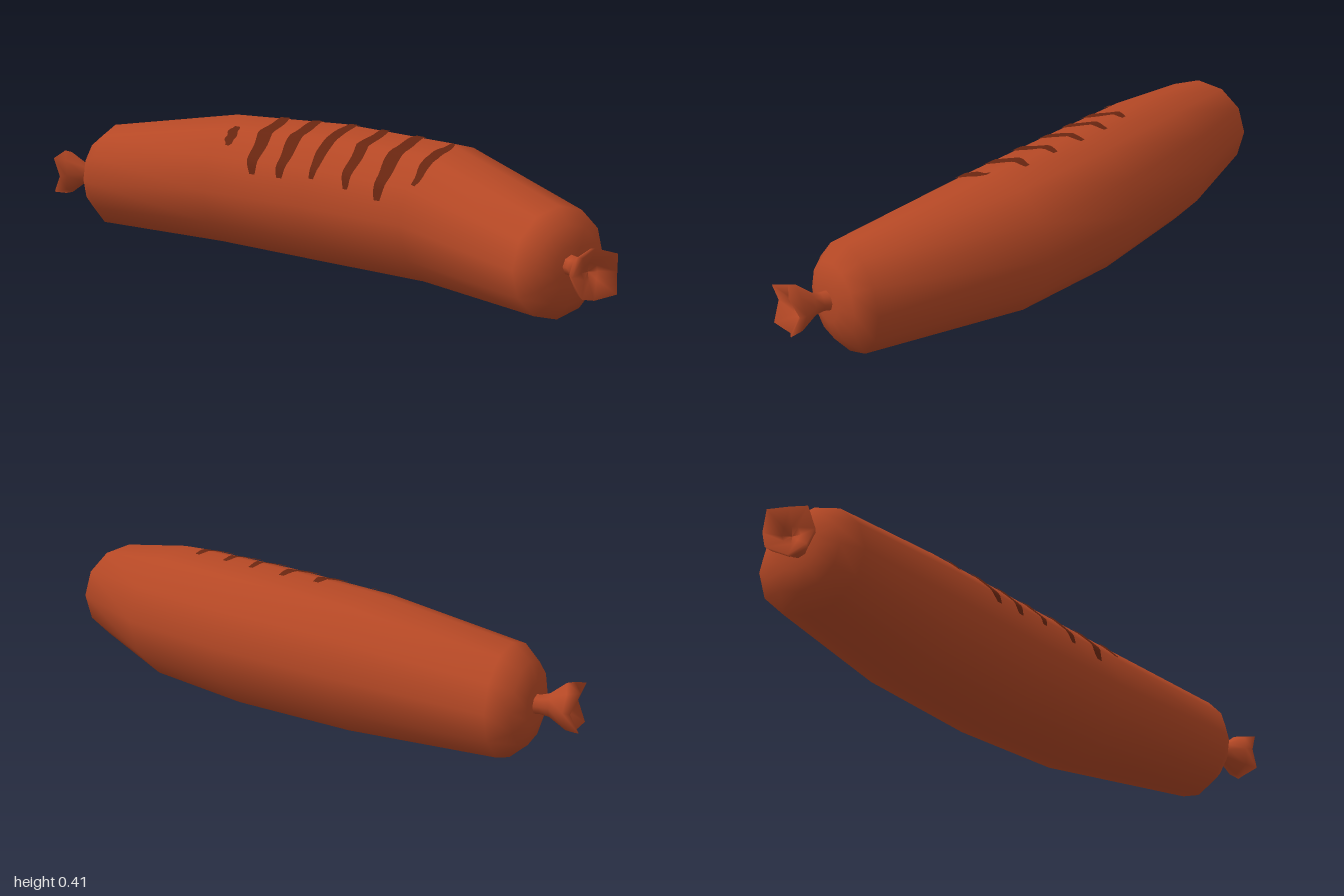
import * as THREE from 'three';

const SIDES = 12;
// Body cross-sections: centre x, y, z, radius, heading of the axis
const BODY = [
  [-0.882, 0.175, 0.115, 0.001, -0.33],
  [-0.885, 0.175, 0.113, 0.06, -0.32],
  [-0.865, 0.175, 0.108, 0.112, -0.31],
  [-0.815, 0.175, 0.093, 0.155, -0.3],
  [-0.39, 0.203, -0.007, 0.195, -0.21],
  [0, 0.205, -0.047, 0.205, -0.03],
  [0.37, 0.203, -0.05, 0.199, 0.06],
  [0.82, 0.163, 0.07, 0.15, 0.27],
  [0.86, 0.165, 0.085, 0.107, 0.28],
  [0.876, 0.166, 0.09, 0.055, 0.29],
  [0.874, 0.166, 0.09, 0.001, 0.29],
];

// Point on a ring; angle 0 is the model's front, a quarter turn is up
function ringPoint([x, y, z, r, h], a, k = 1) {
  const s = Math.cos(a) * r * k;
  return new THREE.Vector3(x - Math.sin(h) * s, y + Math.sin(a) * r * k, z + Math.cos(h) * s);
}

// Grid of points -> smooth surface
function gridGeometry(rows, closed) {
  const n = rows[0].length, index = [];
  for (let i = 0; i < rows.length - 1; i++) {
    for (let j = 0; j < (closed ? n : n - 1); j++) {
      const k = (j + 1) % n;
      const a = i * n + j, b = i * n + k, c = a + n, d = b + n;
      index.push(a, c, b, b, c, d);
    }
  }
  const geo = new THREE.BufferGeometry().setFromPoints(rows.flat());
  geo.setIndex(index);
  geo.computeVertexNormals();
  return geo;
}

const angles = (n) => Array.from({ length: n }, (_, j) => (j / n) * Math.PI * 2);

// Tied casing end: thin neck flaring to a lobed, hollow rim
function knotGeometry(x, y, z, h) {
  const profile = [[-0.03, 0.032, 0], [0.02, 0.026, 0], [0.045, 0.032, 0], [0.09, 0.064, 0.3],
    [0.118, 0.071, 1], [0.085, 0.025, 0.3], [0.075, 0.001, 0]];
  return gridGeometry(profile.map(([d, r, wave]) => angles(8).map((a) => {
    const lobe = -Math.cos(4 * a) * wave;
    const e = d + lobe * 0.011;
    return ringPoint([x + Math.cos(h) * e, y, z + Math.sin(h) * e, r, h], a, 1 + lobe * 0.05);
  })), true);
}

// Point on the faceted body at a given x and angle, lifted slightly
function onBody(x, a) {
  const step = (Math.PI * 2) / SIDES, f = a / step, j = Math.floor(f);
  const edge = (ring) => ringPoint(ring, j * step).lerp(ringPoint(ring, (j + 1) * step), f - j);
  for (let i = 3; i < 7; i++) {
    const p = edge(BODY[i]), q = edge(BODY[i + 1]);
    if (x <= q.x) {
      const point = p.lerp(q, (x - p.x) / (q.x - p.x));
      point.y += Math.sin(a) * 0.004;
      point.z += Math.cos(a) * 0.004;
      return point;
    }
  }
}

// Grill mark: tapering strip with a ragged edge
function markGeometry(x, from, to, width, lean, seed) {
  const steps = 20, rows = [[], [], []];
  for (let i = 0; i <= steps; i++) {
    const t = i / steps;
    const a = THREE.MathUtils.degToRad(from + (to - from) * t);
    const half = (width / 2) * Math.pow(Math.sin(Math.PI * (0.04 + 0.92 * t)), 0.45);
    const rag = 0.003 * Math.sin(t * 17 + seed * 2);
    const mid = x + lean * (0.5 - t);
    rows[0].push(onBody(mid - half + rag, a));
    rows[1].push(onBody(mid, a));
    rows[2].push(onBody(mid + half + rag * 0.6, a));
  }
  return gridGeometry(rows, false);
}

export function createModel() {
  const group = new THREE.Group();
  const skin = new THREE.MeshStandardMaterial({ color: 0xb54825 });
  skin.name = 'sausageSkin';
  const char = new THREE.MeshStandardMaterial({ color: 0x682510 });
  char.name = 'charredBrown';

  const add = (name, geo, mat) => {
    const mesh = new THREE.Mesh(geo, mat);
    mesh.name = name;
    group.add(mesh);
  };

  add('body', gridGeometry(BODY.map((ring) => angles(SIDES).map((a) => ringPoint(ring, a))), true), skin);
  add('rightKnot', knotGeometry(-0.872, 0.175, 0.112, 2.57), skin);
  add('leftKnot', knotGeometry(0.872, 0.17, 0.09, 0.37), skin);

  // x, start angle, end angle, width, lean
  [
    [-0.31, 43, 65, 0.036, 0.01],
    [-0.197, 20, 98, 0.05, 0.035],
    [-0.088, 20, 101, 0.046, 0.02],
    [0.03, 23, 101, 0.04, 0.005],
    [0.15, 20, 100, 0.042, 0.01],
    [0.27, 16, 100, 0.048, 0.005],
    [0.385, 34, 90, 0.034, -0.01],
  ].forEach((m, i) => add('grillMark' + (i + 1), markGeometry(...m, i), char));

  return group;
}
